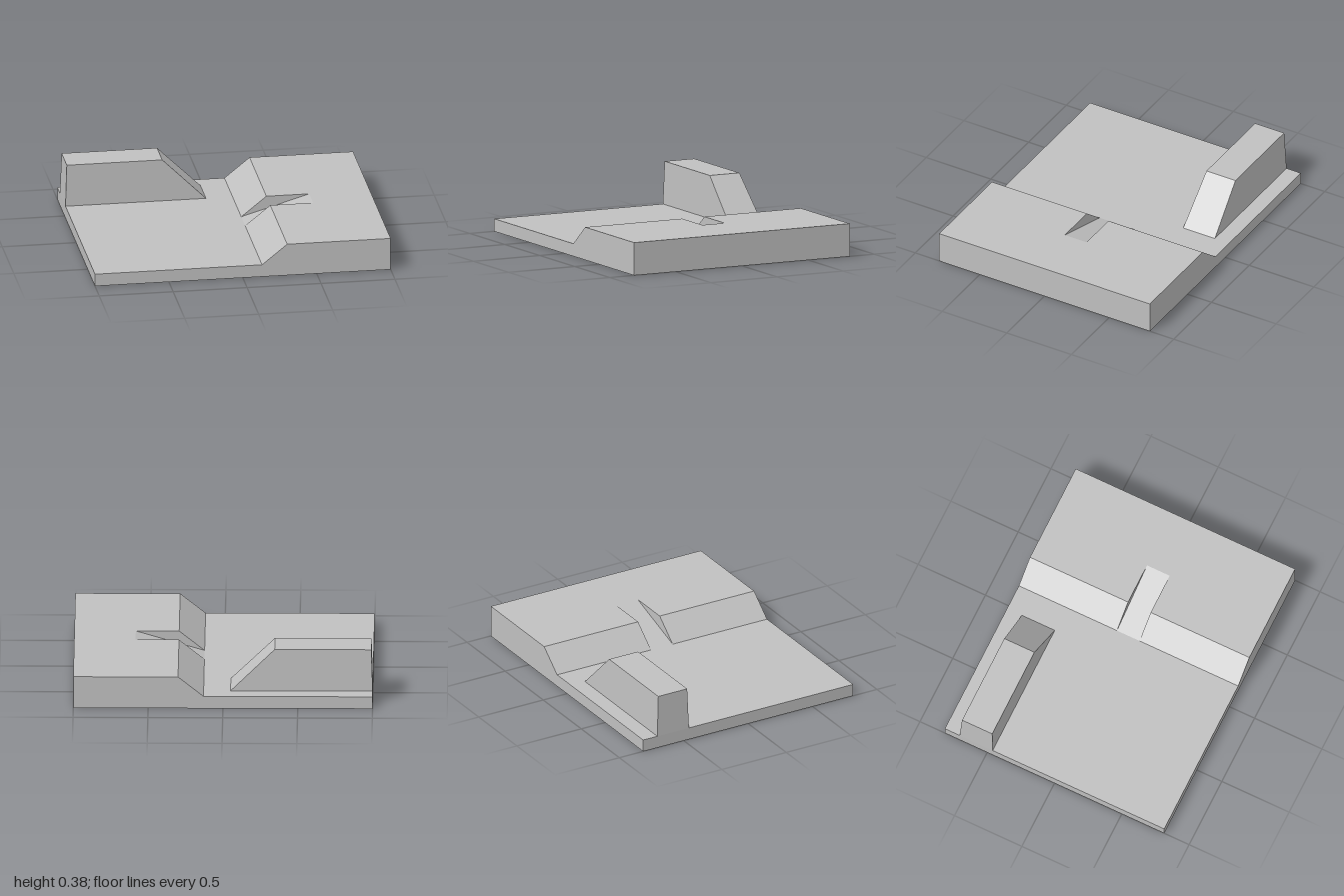
import * as THREE from 'three';

// Flat-shaded geometry from convex faces, corners counter-clockwise seen from outside
function fromFaces(faces) {
  const pos = [];
  for (const f of faces)
    for (let i = 1; i < f.length - 1; i++) pos.push(...f[0], ...f[i], ...f[i + 1]);
  const g = new THREE.BufferGeometry();
  g.setAttribute('position', new THREE.Float32BufferAttribute(pos, 3));
  g.computeVertexNormals();
  return g;
}

// Upward strip swept between z0 and z1 along a profile of [x, y] points
function strip(profile, z0, z1) {
  const faces = [];
  for (let i = 0; i < profile.length - 1; i++) {
    const [a, b] = [profile[i], profile[i + 1]];
    faces.push([[...a, z1], [...b, z1], [...b, z0], [...a, z0]]);
  }
  return faces;
}

export function createModel() {
  const group = new THREE.Group();
  const grey = new THREE.MeshStandardMaterial({ color: 0xc0c0c0 });
  grey.name = 'grey';
  const add = (name, faces) => {
    const mesh = new THREE.Mesh(fromFaces(faces), grey);
    mesh.name = name;
    group.add(mesh);
  };

  const Z = 0.815, low = 0.085, high = 0.222;
  const toe = [0.13, low], crest = [0.3, high], rampEnd = [0.59, high];
  const step = [[-1, low], toe, crest, [1, high]];
  const nBack = -0.086, nFront = 0.082;

  // Stepped top on both sides of the ramp
  add('steppedTop', [...strip(step, -Z, nBack), ...strip(step, nFront, Z)]);

  // Shallow ramp cut through the step, with its triangular side walls
  const at = (p, z) => [...p, z];
  add('rampCut', [
    ...strip([[-1, low], toe, rampEnd, [1, high]], nBack, nFront),
    [toe, rampEnd, crest].map(p => at(p, nBack)),
    [toe, crest, rampEnd].map(p => at(p, nFront)),
  ]);

  // Slab sides and underside
  const ends = [
    [[-1, 0], [0.13, 0], toe, [-1, low]],
    [[0.13, 0], [1, 0], [1, high], crest, toe],
  ];
  add('slabSides', [
    ...ends.map(e => e.map(p => at(p, Z))),
    ...ends.map(e => e.map(p => at(p, -Z)).reverse()),
    [[1, 0, Z], [1, 0, -Z], [1, high, -Z], [1, high, Z]],
    [[-1, 0, -Z], [-1, 0, Z], [-1, low, Z], [-1, low, -Z]],
    [[-1, 0, -Z], [1, 0, -Z], [1, 0, Z], [-1, 0, Z]],
  ]);

  // Raised block with a sloping end and slightly drafted walls
  const top = 0.375;
  const b = [[-1, low, -0.46], [-0.05, low, -0.46], [-0.05, low, -0.705], [-1, low, -0.705]];
  const t = [[-0.99, top, -0.468], [-0.345, top, -0.468], [-0.345, top, -0.692], [-0.99, top, -0.692]];
  const walls = b.map((p, i) => {
    const j = (i + 1) % 4;
    return [p, b[j], t[j], t[i]];
  });
  add('raisedBlock', [...walls, t]);

  return group;
}
